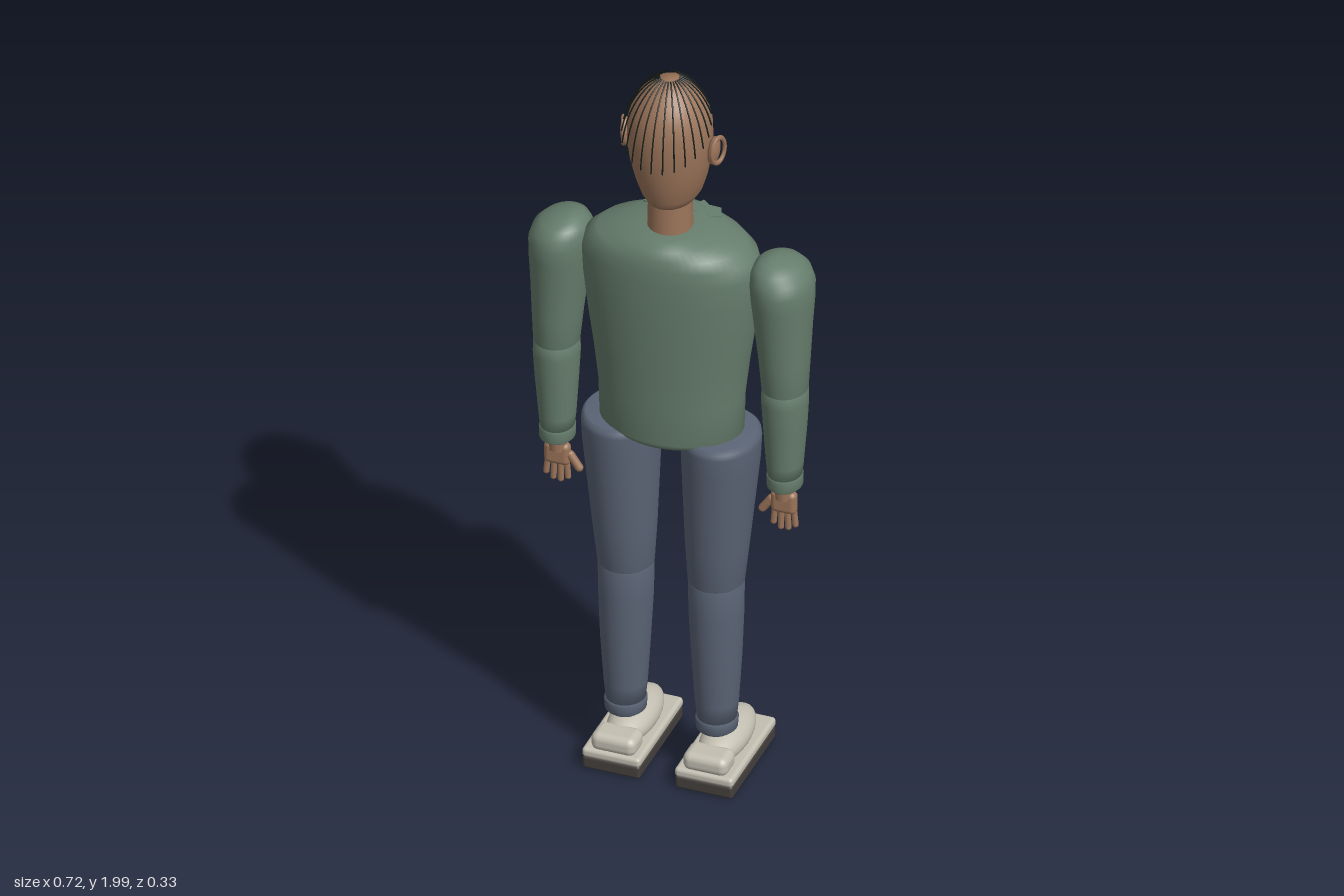
import * as THREE from 'three';
import { RoundedBoxGeometry } from 'three/addons/geometries/RoundedBoxGeometry.js';

const mat = (name, color) => Object.assign(new THREE.MeshStandardMaterial({ color }), { name });

// Closed, smooth body through elliptical rings [y, cx, cz, rx, rz], listed from bottom to top
function loft(rings, seg = 40) {
  const pos = [], idx = [], n = rings.length;
  const full = [[rings[0][0], rings[0][1], rings[0][2], 0, 0], ...rings,
    [rings[n - 1][0], rings[n - 1][1], rings[n - 1][2], 0, 0]];
  for (const [y, cx, cz, rx, rz] of full)
    for (let j = 0; j < seg; j++) {
      const a = j / seg * Math.PI * 2;
      pos.push(cx + rx * Math.sin(a), y, cz + rz * Math.cos(a));
    }
  for (let i = 0; i < full.length - 1; i++)
    for (let j = 0; j < seg; j++) {
      const k = (j + 1) % seg, a = i * seg + j, b = i * seg + k, c = a + seg, d = b + seg;
      if (i > 0) idx.push(a, b, d);
      if (i < full.length - 2) idx.push(a, d, c);
      if (i === 0) idx.push(a, d, c);
    }
  const g = new THREE.BufferGeometry();
  g.setAttribute('position', new THREE.Float32BufferAttribute(pos, 3));
  g.setIndex(idx);
  g.computeVertexNormals();
  return g;
}

const TORSO = [
  [0.975, 0, 0.025, 0.10, 0.09], [0.983, 0, 0.025, 0.15, 0.115], [1.0, 0, 0.025, 0.18, 0.124],
  [1.1, 0, 0.025, 0.183, 0.127], [1.2, 0, 0.025, 0.195, 0.131], [1.3, 0, 0.025, 0.21, 0.136],
  [1.4, 0, 0.025, 0.222, 0.14], [1.47, 0, 0.025, 0.226, 0.14], [1.51, 0, 0.025, 0.215, 0.138],
  [1.535, 0, 0.025, 0.185, 0.132], [1.555, 0, 0.025, 0.125, 0.122], [1.568, 0, 0.025, 0.065, 0.1]];

// z of the jacket's chest surface at (x, y)
function chestZ(x, y) {
  let i = 0;
  while (i < TORSO.length - 2 && TORSO[i + 1][0] < y) i++;
  const a = TORSO[i], b = TORSO[i + 1], t = (y - a[0]) / (b[0] - a[0]);
  const rx = a[3] + (b[3] - a[3]) * t, rz = a[4] + (b[4] - a[4]) * t;
  return 0.025 - rz * Math.sqrt(Math.max(0, 1 - (x / rx) ** 2));
}

export function createModel() {
  const jacket = mat('jacket green', 0x667d6c), denim = mat('denim blue', 0x5a6475);
  const skin = mat('skin brown', 0x9c755a), shoe = mat('shoe cream', 0xc3bfb2);
  const sole = mat('sole dark', 0x45403d), dark = mat('hair black', 0x141b18);
  const seam = mat('seam dark green', 0x2b3830), white = mat('eye white', 0xd8d2c6);
  const lip = mat('lip brown', 0x7d5040);
  const model = new THREE.Group();
  model.name = 'standingMan';

  const add = (name, geo, m, p = [0, 0, 0], r = [0, 0, 0], s = [1, 1, 1]) => {
    const mesh = new THREE.Mesh(geo, m);
    mesh.name = name;
    mesh.position.set(...p); mesh.rotation.set(...r); mesh.scale.set(...s);
    model.add(mesh);
    return mesh;
  };
  const ball = new THREE.SphereGeometry(1, 28, 18);
  const line = (name, pts, r, m, closed = false, seg = 16) => add(name, new THREE.TubeGeometry(
    new THREE.CatmullRomCurve3(pts.map(p => new THREE.Vector3(...p)), closed, 'catmullrom', 0.3), seg, r, 6, closed), m);

  // Torso and zip
  add('torso', loft(TORSO, 56), jacket);
  const zip = [];
  for (let y = 1.03; y <= 1.53; y += 0.05) zip.push([0, y, chestZ(0, y) - 0.001]);
  line('zip', zip, 0.004, seam, false, 30);

  // Neck and head
  add('neck', new THREE.CylinderGeometry(0.053, 0.056, 0.13, 32), skin, [0, 1.605, 0.036]);
  add('head', loft([
    [1.64, 0, 0.022, 0.045, 0.062], [1.648, 0, 0.022, 0.06, 0.08], [1.67, 0, 0.024, 0.073, 0.09],
    [1.71, 0, 0.028, 0.086, 0.097], [1.76, 0, 0.034, 0.097, 0.103], [1.82, 0, 0.037, 0.104, 0.106],
    [1.87, 0, 0.038, 0.102, 0.105], [1.91, 0, 0.038, 0.092, 0.096], [1.945, 0, 0.038, 0.073, 0.077],
    [1.968, 0, 0.038, 0.05, 0.054], [1.982, 0, 0.038, 0.025, 0.027], [1.986, 0, 0.038, 0.008, 0.008]]), skin);

  // Nose and mouth
  add('noseBridge', ball, skin, [0, 1.812, -0.073], [0.28, 0, 0], [0.011, 0.042, 0.014]);
  add('noseTip', ball, skin, [0, 1.783, -0.088], [0, 0, 0], [0.014, 0.012, 0.018]);
  line('upperLip', [[-0.032, 1.717, -0.062], [0, 1.722, -0.073], [0.032, 1.717, -0.062]], 0.006, lip);
  line('lowerLip', [[-0.026, 1.712, -0.063], [0, 1.707, -0.071], [0.026, 1.712, -0.063]], 0.006, lip);
  line('mouthLine', [[-0.03, 1.715, -0.067], [0, 1.715, -0.079], [0.03, 1.715, -0.067]], 0.002, dark);

  // Hair strands fanning from the crown, long at the back and short over the forehead
  const strands = 28;
  for (let i = 0; i < strands; i++) {
    const a = i / strands * Math.PI * 2, back = (Math.cos(a) + 1) / 2;
    const end = 0.75 + 0.75 * back, pts = [];
    for (let k = 0; k <= 8; k++) {
      const t = 0.2 + (end - 0.2) * k / 8;
      const r = 0.112 * Math.sin(Math.min(t, Math.PI / 2)) + 0.010 * back * t;
      const y = 1.79 + 0.207 * Math.cos(t) - 0.03 * back * Math.max(0, t - 1);
      pts.push([r * Math.sin(a), y, 0.038 + r * Math.cos(a)]);
    }
    line('hairStrand', pts, 0.0019, dark);
  }

  for (const s of [1, -1]) {
    // Eyes, brows, nostrils and ears
    add('eye', ball, white, [s * 0.04, 1.822, -0.057], [0, s * -0.35, 0], [0.017, 0.008, 0.007]);
    add('iris', ball, dark, [s * 0.04, 1.822, -0.062], [0, 0, 0], [0.007, 0.007, 0.004]);
    line('eyelid', [[s * 0.022, 1.826, -0.066], [s * 0.04, 1.832, -0.063], [s * 0.059, 1.824, -0.052]], 0.0028, dark);
    line('brow', [[s * 0.016, 1.846, -0.069], [s * 0.04, 1.857, -0.066], [s * 0.07, 1.846, -0.045]], 0.0055, dark);
    add('nostril', ball, skin, [s * 0.013, 1.78, -0.077], [0, 0, 0], [0.009, 0.008, 0.011]);
    add('ear', ball, skin, [s * 0.112, 1.805, 0.036], [0, 0, s * -0.1], [0.014, 0.04, 0.024]);
    add('earRim', new THREE.TorusGeometry(0.024, 0.005, 8, 28), skin,
      [s * 0.122, 1.806, 0.034], [0, Math.PI / 2 - s * 0.35, 0], [1, 1.45, 1]);

    // Collar flap
    const flap = new THREE.Shape([[0.02, 0.05], [0.055, 0.03], [0.1, 0.055], [0.085, 0.095], [0.055, 0.09], [0.035, 0.105]]
      .map(([x, y]) => new THREE.Vector2(s * x, y)));
    add('collarFlap', new THREE.ExtrudeGeometry(flap, { depth: 0.008, bevelEnabled: false }), jacket,
      [0, 1.57, 0.01], [-Math.PI / 2 - 0.12, s * 0.12, 0]);

    // Chest pocket, laid on the chest
    const put = (x, y, d) => [s * x, y, chestZ(x, y) - d];
    const patch = new THREE.PlaneGeometry(0.075, 0.07, 8, 4).rotateY(Math.PI);
    const pa = patch.attributes.position;
    for (let i = 0; i < pa.count; i++) {
      const x = pa.getX(i) + s * 0.118, y = pa.getY(i) + 1.355;
      pa.setXYZ(i, x, y, chestZ(x, y) - 0.003);
    }
    patch.computeVertexNormals();
    add('pocket', patch, jacket);
    line('pocketSeam', [put(0.081, 1.39, 0.003), put(0.118, 1.39, 0.003), put(0.155, 1.39, 0.003), put(0.155, 1.335, 0.003),
      put(0.145, 1.32, 0.003), put(0.118, 1.318, 0.003), put(0.09, 1.32, 0.003), put(0.081, 1.335, 0.003)], 0.003, seam, true, 60);

    // Arm with shoulder, sleeve and cuff
    add('upperArm', loft([
      [1.155, s * 0.293, 0.032, 0.045, 0.05], [1.165, s * 0.293, 0.032, 0.056, 0.062], [1.25, s * 0.291, 0.03, 0.062, 0.07],
      [1.35, s * 0.287, 0.027, 0.07, 0.081], [1.42, s * 0.285, 0.025, 0.076, 0.091], [1.46, s * 0.284, 0.025, 0.077, 0.094],
      [1.49, s * 0.28, 0.025, 0.071, 0.087], [1.51, s * 0.274, 0.025, 0.057, 0.07], [1.522, s * 0.266, 0.025, 0.035, 0.045],
      [1.527, s * 0.262, 0.025, 0.012, 0.015]]), jacket);
    add('foreArm', loft([
      [0.9, s * 0.292, 0.03, 0.04, 0.047], [0.95, s * 0.292, 0.03, 0.045, 0.051], [1.06, s * 0.293, 0.031, 0.053, 0.059],
      [1.13, s * 0.293, 0.032, 0.057, 0.063], [1.16, s * 0.293, 0.032, 0.056, 0.062], [1.175, s * 0.293, 0.032, 0.045, 0.05]]), jacket);
    add('cuff', loft([
      [0.878, s * 0.292, 0.03, 0.037, 0.044], [0.884, s * 0.292, 0.03, 0.043, 0.05],
      [0.912, s * 0.292, 0.03, 0.044, 0.051], [0.918, s * 0.292, 0.03, 0.04, 0.047]]), jacket);
    for (const y of [1.13, 1.185])
      line('sleeveCrease', [[s * 0.27, y, -0.025], [s * 0.293, y + 0.006, -0.0335], [s * 0.318, y, -0.024]], 0.003, seam);

    // Hand
    add('wrist', new THREE.CylinderGeometry(0.024, 0.022, 0.05, 20), skin, [s * 0.29, 0.868, 0.032]);
    add('palm', new RoundedBoxGeometry(0.066, 0.062, 0.03, 4, 0.014), skin, [s * 0.291, 0.832, 0.032]);
    [0.052, 0.064, 0.066, 0.055].forEach((len, i) => add('finger',
      new THREE.CapsuleGeometry(0.0078, len - 0.016, 4, 10), skin,
      [s * (0.318 - i * 0.0175), 0.815 - len / 2, 0.032], [0, 0, s * (0.1 - i * 0.06)]));
    add('thumb', new THREE.CapsuleGeometry(0.0105, 0.04, 4, 10), skin, [s * 0.247, 0.816, 0.032], [0, 0, s * -0.6]);

    // Leg with trouser hem
    add('thigh', loft([
      [0.555, s * 0.116, 0.03, 0.056, 0.058], [0.568, s * 0.116, 0.03, 0.069, 0.071], [0.68, s * 0.119, 0.03, 0.078, 0.083],
      [0.8, s * 0.123, 0.029, 0.086, 0.095], [0.92, s * 0.127, 0.028, 0.094, 0.107], [0.975, s * 0.128, 0.028, 0.096, 0.111],
      [0.99, s * 0.128, 0.028, 0.094, 0.109], [1.0, s * 0.128, 0.028, 0.085, 0.098]]), denim);
    add('shin', loft([
      [0.15, s * 0.117, 0.029, 0.046, 0.05], [0.22, s * 0.117, 0.029, 0.053, 0.056], [0.35, s * 0.117, 0.03, 0.061, 0.065],
      [0.48, s * 0.116, 0.03, 0.067, 0.07], [0.56, s * 0.116, 0.03, 0.068, 0.07], [0.578, s * 0.116, 0.03, 0.056, 0.058]]), denim);
    add('trouserHem', loft([
      [0.135, s * 0.117, 0.029, 0.042, 0.046], [0.142, s * 0.117, 0.029, 0.05, 0.054],
      [0.166, s * 0.117, 0.029, 0.052, 0.056], [0.174, s * 0.117, 0.029, 0.047, 0.051]]), denim);
    line('shinSeam', [[s * 0.117, 0.2, -0.025], [s * 0.117, 0.35, -0.0345], [s * 0.117, 0.52, -0.0395]], 0.002, seam);

    // Shoe: sole, midsole, toe and heel
    add('sole', new RoundedBoxGeometry(0.148, 0.036, 0.292, 3, 0.008), sole, [s * 0.119, 0.018, -0.021]);
    add('midsole', new RoundedBoxGeometry(0.15, 0.026, 0.295, 3, 0.01), shoe, [s * 0.119, 0.045, -0.021]);
    add('shoeUpper', ball, shoe, [s * 0.118, 0.072, -0.035], [0, 0, 0], [0.056, 0.043, 0.129]);
    add('heelCounter', new RoundedBoxGeometry(0.115, 0.05, 0.075, 4, 0.02), shoe, [s * 0.118, 0.076, 0.084]);
  }
  return model;
}
